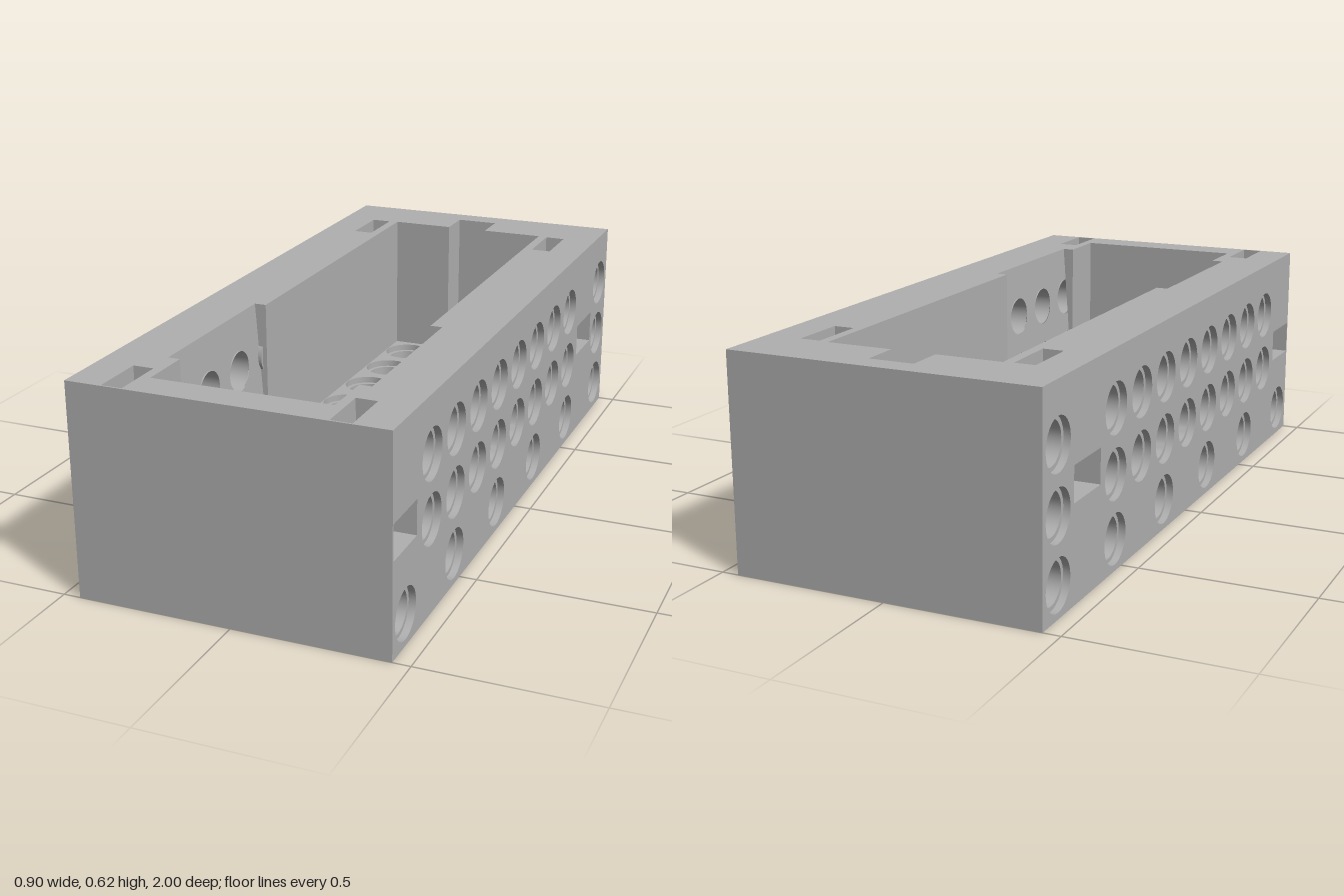
import * as THREE from 'three';
import { mergeGeometries, toCreasedNormals } from 'three/addons/utils/BufferGeometryUtils.js';

const PITCH = 2 / 11, R = 0.06, RIM = 0.073, LIP = 0.02, DEPTH = 0.18;
const W = 0.45, H = 0.62, FLOOR = 0.18, CX = 0.257, BACK = -0.82, FRONT = 0.9;

// Each plane maps a 2D point (a, b) at offset t into space
const PLANES = {
  xz: (a, b, t) => [a, t, b],
  zy: (a, b, t) => [t, b, a],
  xy: (a, b, t) => [a, b, t],
};

const rect = (a0, a1, b0, b1) => [[a0, b0], [a1, b0], [a1, b1], [a0, b1]];

function arc(ca, cb, r, from, to, n = 32) {
  const steps = Math.max(3, Math.ceil(n * Math.abs(to - from) / (2 * Math.PI)));
  return Array.from({ length: steps + 1 }, (_, i) => {
    const t = from + (to - from) * i / steps;
    return [ca + r * Math.cos(t), cb + r * Math.sin(t)];
  });
}
const circle = (a, b, r) => arc(a, b, r, 0, 2 * Math.PI).slice(0, -1);

// Flat face with holes; t may be a function of (a, b) for a slanted face
function face(plane, pts, holes, t) {
  const vec = list => list.map(p => new THREE.Vector2(p[0], p[1]));
  const shape = new THREE.Shape(vec(pts));
  shape.holes = holes.map(h => new THREE.Path(vec(h)));
  const geo = new THREE.ShapeGeometry(shape).toNonIndexed();
  const pos = geo.attributes.position;
  for (let i = 0; i < pos.count; i++) {
    const a = pos.getX(i), b = pos.getY(i);
    pos.setXYZ(i, ...PLANES[plane](a, b, typeof t === 'function' ? t(a, b) : t));
  }
  geo.deleteAttribute('uv');
  geo.deleteAttribute('normal');
  return geo;
}

// Wall swept along the plane's normal from t0 to t1
function band(plane, pts, t0, t1, closed = true) {
  const out = [], map = PLANES[plane];
  for (let i = 0; i < pts.length - (closed ? 0 : 1); i++) {
    const p = pts[i], q = pts[(i + 1) % pts.length];
    const a = map(...p, t0), b = map(...q, t0), c = map(...q, t1), d = map(...p, t1);
    out.push(...a, ...b, ...c, ...a, ...c, ...d);
  }
  return new THREE.BufferGeometry().setAttribute('position', new THREE.Float32BufferAttribute(out, 3));
}

// Counterbored hole: wide lip, step ring, narrow bore, optional end cap
function bore(plane, a, b, t0, t1, capped) {
  const lip = t0 + Math.sign(t1 - t0) * LIP, wide = circle(a, b, RIM), slim = circle(a, b, R);
  const parts = [band(plane, wide, t0, lip), face(plane, wide, [slim], lip), band(plane, slim, lip, t1)];
  if (capped) parts.push(face(plane, slim, [], t1));
  return parts;
}

// Arcs where a row of floor holes breaks through a rectangular cutout (left half)
const cornerArc = (r, cz, edge) =>
  arc(-PITCH, cz, r, Math.acos((PITCH - 0.2) / r), 2 * Math.PI + Math.asin((edge - cz) / r));
const middleArc = (r, cz, edge) => arc(0, cz, r, Math.PI - Math.asin((edge - cz) / r), 1.5 * Math.PI);

// Cutout of half width 0.2, open to the front, merged with the holes it meets
function cutout(r, sideRows, cz, edge) {
  const half = [[-0.2, FRONT]];
  for (const z of sideRows) {
    const s = Math.acos((PITCH - 0.2) / r);
    half.push(...arc(-PITCH, z, r, s, 2 * Math.PI - s));
  }
  half.push(...cornerArc(r, cz, edge), ...middleArc(r, cz, edge));
  return [...half, ...half.slice(0, -1).reverse().map(([x, z]) => [-x, z])];
}

export function createModel() {
  const group = new THREE.Group();
  const grey = new THREE.MeshStandardMaterial({ color: 0xb0b0b0, side: THREE.DoubleSide });
  grey.name = 'grey';
  const add = (name, geos) => {
    const mesh = new THREE.Mesh(toCreasedNormals(mergeGeometries(geos.flat()), 0.6), grey);
    mesh.name = name;
    group.add(mesh);
  };
  const z3 = 3 * PITCH;
  const openWide = cutout(RIM, [], z3, 0.6), openSlim = cutout(R, [], z3, 0.6);
  const recess = cutout(RIM, [z3, 2 * PITCH], PITCH, 0.23);

  // Holes in the base: three middle columns, plus blind ones under the side walls
  const baseHoles = [], floorRims = [], recessHoles = [], baseBores = [];
  for (const x of [-PITCH, 0, PITCH]) {
    for (let k = -5; k <= 2; k++) {
      const z = k * PITCH;
      if (x === 0 && k === -3) {
        baseHoles.push(circle(x, z, 0.07));
        floorRims.push(circle(x, z, 0.07));
        baseBores.push(band('xz', circle(x, z, 0.07), 0, FLOOR));
        continue;
      }
      baseHoles.push(circle(x, z, RIM));
      baseBores.push(bore('xz', x, z, 0, k === -5 ? DEPTH : FLOOR - LIP, k === -5));
      if (k >= 1) recessHoles.push(circle(x, z, R));
      else if (k > -5) {
        floorRims.push(circle(x, z, RIM));
        baseBores.push(face('xz', circle(x, z, RIM), [circle(x, z, R)], FLOOR - LIP),
          band('xz', circle(x, z, RIM), FLOOR - LIP, FLOOR));
      }
    }
  }
  for (const x of [-2 * PITCH, 2 * PITCH]) {
    for (let k = -4; k <= 4; k += 2) {
      baseHoles.push(circle(x, k * PITCH, RIM));
      baseBores.push(bore('xz', x, k * PITCH, 0, DEPTH, true));
    }
  }
  add('base', [face('xz', rect(-W, W, -1, 1), [openWide, ...baseHoles], 0)]);
  add('baseHoles', baseBores);

  // Rectangular opening through the base, with the holes that run into it
  const steps = [-1, 1].map(s => {
    const ring = [...cornerArc(RIM, z3, 0.6), ...cornerArc(R, z3, 0.6).reverse()];
    return face('xz', ring.map(([x, z]) => [s * x, z]), [], LIP);
  });
  const midRing = [...middleArc(RIM, z3, 0.6), ...middleArc(R, z3, 0.6).reverse()];
  for (const s of [-1, 1]) steps.push(face('xz', midRing.map(([x, z]) => [s * x, z]), [], LIP));
  add('baseOpening', [band('xz', openWide, 0, LIP), band('xz', openSlim, LIP, FLOOR - LIP), ...steps]);

  // Cavity floor and the shallow recess in it
  add('cavityFloor', [face('xz',
    [[CX, FRONT], [CX, BACK], [-CX, BACK], [-CX, FRONT], ...recess], floorRims, FLOOR)]);
  add('floorRecess', [
    face('xz', [...recess.slice(1, -1), ...openSlim.slice(1, -1).reverse()], recessHoles, FLOOR - LIP),
    band('xz', recess, FLOOR - LIP, FLOOR)]);

  // Front, back and top
  add('frontWall', [face('xy', rect(-W, W, 0, H), [], 1), face('xy', rect(-CX, CX, FLOOR, H), [], FRONT)]);
  const nx = 0.065, nz = -0.93, ny = 0.2;
  add('backWall', [face('xy', rect(-W, W, 0, H), [], -1),
    face('xy', [[-CX, FLOOR], [CX, FLOOR], [CX, H], [nx, H], [nx, ny], [-nx, ny], [-nx, H], [-CX, H]], [], BACK)]);
  add('backNotch', [band('xz', [[-nx, BACK], [-nx, nz], [nx, nz], [nx, BACK]], ny, H, false),
    face('xz', rect(-nx, nx, nz, BACK), [], ny)]);

  const p0 = 0.23, p1 = 0.745, py = 0.28, pTop = 0.292, pLow = 0.268;
  const slots = [[0.835, 0.995], [-0.815, -0.648]], sx0 = 0.285, sx1 = 0.345, sy0 = 0.275, sy1 = 0.375;
  const edge = [[CX, FRONT], [CX, p1], [pTop, p1], [pTop, p0], [CX, p0], [CX, BACK], [nx, BACK], [nx, nz]];
  const mirrored = edge.map(([x, z]) => [-x, z]).reverse();
  const slotTops = [];
  for (const s of [-1, 1]) for (const [a, b] of slots) slotTops.push(rect(s * sx0, s * sx1, a, b));
  add('topRim', [face('xz', rect(-W, W, -1, 1), [[...edge, ...mirrored], ...slotTops], H)]);

  // Slanted pocket outline, broken by the holes that cross its lower and front edges
  const lowY = 1.5 * PITCH, highY = 2.5 * PITCH, z4 = 4 * PITCH;
  const lift = Math.asin((py - lowY) / R), side = Math.acos((p1 - z4) / R);
  const pocket = [[p0, H], [p0, py],
    ...arc(2 * PITCH, lowY, R, Math.PI - lift, lift), ...arc(z3, lowY, R, Math.PI - lift, lift),
    ...arc(z4, lowY, R, Math.PI - lift, side),
    ...arc(z4, highY, R, 2 * Math.PI - side, side), [p1, H]];

  for (const s of [-1, 1]) {
    const label = s > 0 ? 'left' : 'right';
    // Side holes on three levels
    const holes = [], bores = [];
    for (let row = 0; row < 3; row++) {
      for (let k = -5; k <= 5; k++) {
        if (row === 0 ? k % 2 === 0 : (k === 5 || k === -4)) continue;
        const y = (row + 0.5) * PITCH, open = row > 0 && k >= 2;
        holes.push(circle(k * PITCH, y, RIM));
        bores.push(bore('zy', k * PITCH, y, s * W, s * (open && row === 2 ? 0.28 : W - DEPTH), !open));
      }
    }
    add(label + 'Wall', [
      face('zy', rect(-1, 1, 0, H), [...holes, ...slots.map(([a, b]) => rect(a, b, sy0, sy1))], s * W),
      face('zy', [[BACK, FLOOR], [FRONT, FLOOR], [FRONT, H], [p1, H], [p1, py], [p0, py], [p0, H], [BACK, H]],
        [], s * CX)]);
    add(label + 'WallHoles', bores);

    // Pocket in the inner wall
    const slant = y => pLow + (pTop - pLow) * (y - py) / (H - py);
    const end = [[s * CX, py], [s * pLow, py], [s * pTop, H], [s * CX, H]];
    add(label + 'Pocket', [
      face('zy', pocket, [circle(2 * PITCH, highY, R), circle(z3, highY, R)], (a, b) => s * slant(b)),
      face('xy', end, [], p0), face('xy', end, [], p1),
      face('xz', rect(s * CX, s * pLow, p0, p1), [], py)]);

    // Strap slots running from the top rim out through the side
    const outer = [[s * sx1, H], [s * sx1, sy1], [s * W, sy1]];
    const inner = [[s * sx0, H], [s * sx0, sy0], [s * W, sy0]];
    add(label + 'Slots', slots.map(([a, b]) => [
      band('xy', outer, a, b, false), band('xy', inner, a, b, false),
      ...[a, b].map(z => face('xy', [...outer, ...[...inner].reverse()], [], z))]).flat());
  }
  return group;
}
